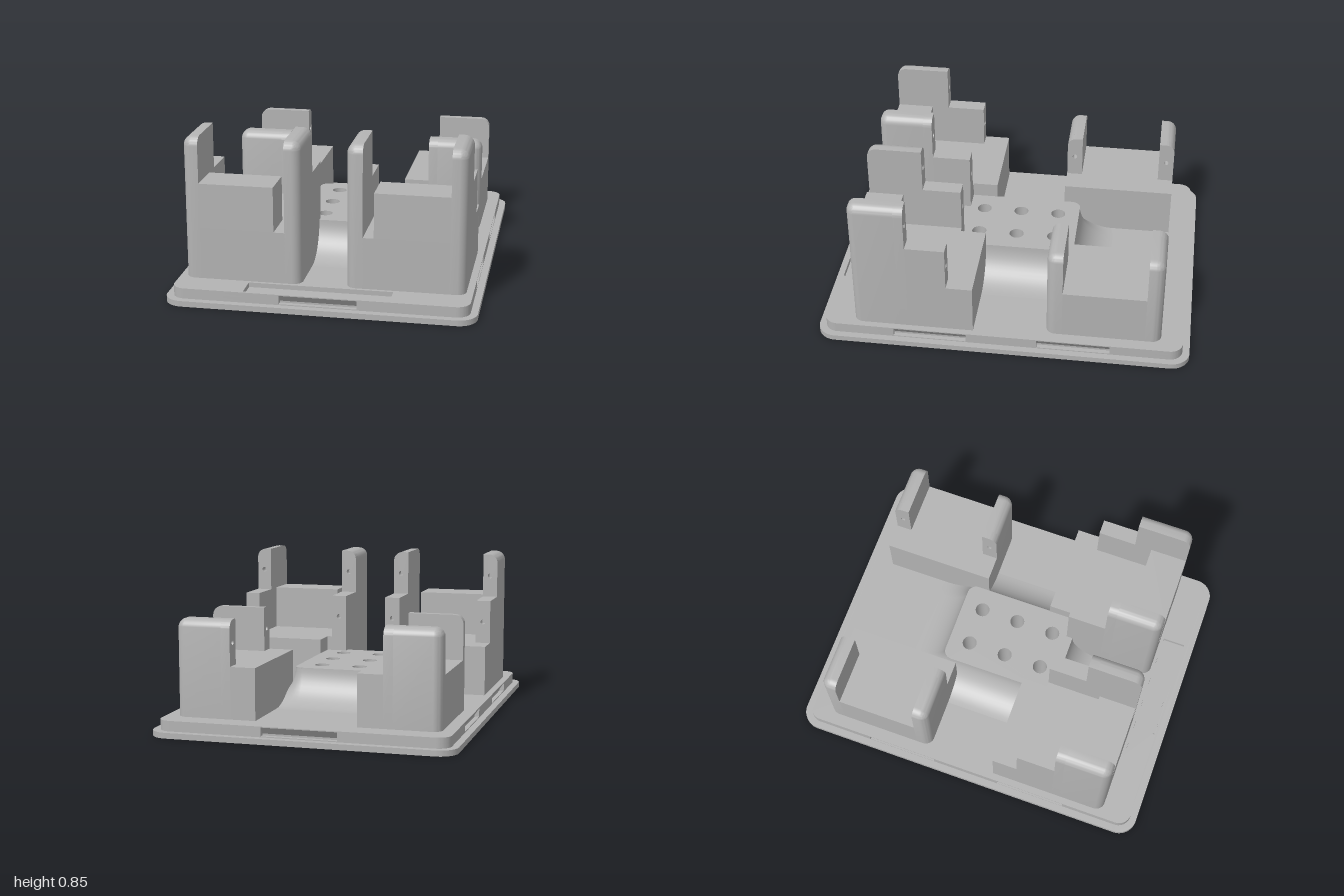
import * as THREE from 'three';
import { toCreasedNormals } from 'three/addons/utils/BufferGeometryUtils.js';

const R = 0.05;          // edge rounding of the posts
const BLOCK_TOP = 0.28, PLATE_TOP = 0.085, FLOOR = 0.36, STEP = 0.6, POST = 0.845;
const NOTCH = 0.025;     // depth of the clip notches in the plate rim
const SIDE_NOTCHES = [[-0.58, -0.19], [0.19, 0.58]];
const END_NOTCHES = [[-0.2, 0.2]];

export function createModel() {
  const model = new THREE.Group();
  const grey = new THREE.MeshStandardMaterial({ color: 0xb3b3b3 });
  grey.name = 'grey plastic';

  function add(parent, name, geo) {
    const mesh = new THREE.Mesh(geo, grey);
    mesh.name = name;
    parent.add(mesh);
    return mesh;
  }
  const smooth = (geo) => toCreasedNormals(geo, 0.6);
  const range = (s, a, b) => (s > 0 ? [a, b] : [-b, -a]);

  function box([x0, x1], [y0, y1], [z0, z1]) {
    return new THREE.BoxGeometry(x1 - x0, y1 - y0, z1 - z0)
      .translate((x0 + x1) / 2, (y0 + y1) / 2, (z0 + z1) / 2);
  }

  // Box whose three edges meeting at the top corner (sx, up, sz) are rounded
  function cornerBlock(xr, yr, zr, sx, sz) {
    const n = 5, lo = [xr[0], yr[0], zr[0]], size = [xr[1] - xr[0], yr[1] - yr[0], zr[1] - zr[0]];
    const sign = [sx, 1, sz];
    const geo = new THREE.BoxGeometry(1, 1, 1, n + 1, n + 1, n + 1);
    const pos = geo.attributes.position;
    for (let i = 0; i < pos.count; i++) {
      const core = [], d = [];
      for (let a = 0; a < 3; a++) {
        const t = pos.getComponent(i, a) * sign[a] + 0.5;
        const k = Math.round(t * (n + 1));
        core[a] = k === 0 ? 0 : size[a] - R;
        d[a] = k === 0 ? 0 : R * Math.tan(((k - 1) / n) * Math.PI / 4);
      }
      const len = Math.hypot(...d), f = len > 0 ? Math.max(...d) / len : 0;
      const p = core.map((c, a) => {
        const v = c + d[a] * f;
        return lo[a] + (sign[a] > 0 ? v : size[a] - v);
      });
      pos.setXYZ(i, ...p);
    }
    return smooth(geo);
  }

  // Slab with a small pilot hole; its top corner on side s can be rounded
  function drilledSlab([u0, u1], y1, holeY, depth, s = 0) {
    const sh = new THREE.Shape();
    sh.moveTo(u0, 0.08);
    sh.lineTo(u1, 0.08);
    if (s > 0) sh.absarc(u1 - R, y1 - R, R, 0, Math.PI / 2); else sh.lineTo(u1, y1);
    if (s < 0) sh.absarc(u0 + R, y1 - R, R, Math.PI / 2, Math.PI); else sh.lineTo(u0, y1);
    sh.closePath();
    sh.holes.push(new THREE.Path().absarc((u0 + u1) / 2, holeY, 0.014, 0, Math.PI * 2));
    return smooth(new THREE.ExtrudeGeometry(sh, { depth, bevelEnabled: false, curveSegments: 6 }));
  }

  // Rounded rectangle with the six screw holes, optional rim notches and front pocket
  function slab(hx, hz, r, y0, y1, notched = false, pocket = false) {
    const sh = new THREE.Shape();
    const at = [
      (a, b) => [a, -hz + b], (a, b) => [hx - b, a],
      (a, b) => [-a, hz - b], (a, b) => [-hx + b, -a],
    ];
    const corners = [[1, -1], [1, 1], [-1, 1], [-1, -1]];
    sh.moveTo(-hx + r, -hz);
    for (let i = 0; i < 4; i++) {
      if (notched) {
        for (const [a, b] of i % 2 ? SIDE_NOTCHES : END_NOTCHES) {
          for (const q of [[a, 0], [a, NOTCH], [b, NOTCH], [b, 0]]) sh.lineTo(...at[i](...q));
        }
      }
      const [cx, cz] = corners[i], a0 = (i - 1) * Math.PI / 2;
      sh.absarc(cx * (hx - r), cz * (hz - r), r, a0, a0 + Math.PI / 2);
    }
    for (const x of [-0.107, 0.107]) {
      for (const z of [-0.212, 0, 0.212]) {
        sh.holes.push(new THREE.Path().absarc(x, z, 0.04, 0, Math.PI * 2));
      }
    }
    if (pocket) {
      // the pocket stays just behind the notch where the two meet
      const p = new THREE.Path();
      p.moveTo(-0.39, -0.945);
      if (notched) {
        for (const [x, z] of [[-0.201, 0.945], [-0.201, 0.934], [0.201, 0.934], [0.201, 0.945]]) p.lineTo(x, -z);
      }
      p.lineTo(0.365, -0.945);
      p.lineTo(0.365, -0.82);
      p.lineTo(-0.39, -0.82);
      p.closePath();
      sh.holes.push(p);
    }
    const geo = new THREE.ExtrudeGeometry(sh, { depth: y1 - y0, bevelEnabled: false, curveSegments: 10 });
    return smooth(geo.rotateX(-Math.PI / 2).translate(0, y0, 0));
  }

  // Base: flange and stepped plate
  const base = new THREE.Group();
  base.name = 'base';
  model.add(base);
  add(base, 'flange', slab(0.805, 1, 0.1, 0, 0.03));
  add(base, 'plateBottom', slab(0.768, 0.962, 0.07, 0.03, 0.035));
  add(base, 'plateLower', slab(0.768, 0.962, 0.07, 0.035, 0.06, true));
  add(base, 'plateUpper', slab(0.768, 0.962, 0.07, 0.06, 0.08, true, true));
  add(base, 'plateTop', slab(0.768, 0.962, 0.07, 0.08, PLATE_TOP, false, true));

  // Sloping undersides of the clip notches
  function notchSlope(a, b, turn, edge) {
    const tri = new THREE.Shape([[0, 0.08], [-NOTCH, 0.08], [-NOTCH, 0.045]].map((p) => new THREE.Vector2(...p)));
    const geo = new THREE.ExtrudeGeometry(tri, { depth: b - a, bevelEnabled: false })
      .rotateY(-Math.PI / 2).translate(b, 0, edge).rotateY(turn);
    add(base, 'notchSlope', geo);
  }
  for (const turn of [0, Math.PI]) {
    for (const [a, b] of END_NOTCHES) notchSlope(a, b, turn, 0.962);
    for (const [a, b] of SIDE_NOTCHES) notchSlope(a, b, turn + Math.PI / 2, 0.768);
  }

  // Centre block with a concave skirt flowing into the plate
  add(model, 'centreBlock', slab(0.232, 0.33, R, PLATE_TOP, BLOCK_TOP));
  const rows = 12, arc = 6, verts = [], index = [], ring = 4 * (arc + 1);
  for (let j = 0; j <= rows; j++) {
    const t = (j / rows) * Math.PI / 2, h = BLOCK_TOP - PLATE_TOP;
    const r = R + h * (1 - Math.cos(t)), y = BLOCK_TOP - h * Math.sin(t);
    for (let q = 0; q < 4; q++) {
      const cx = (q === 0 || q === 3 ? 1 : -1) * (0.232 - R), cz = (q < 2 ? 1 : -1) * (0.33 - R);
      for (let k = 0; k <= arc; k++) {
        const a = (q + k / arc) * Math.PI / 2;
        verts.push(cx + r * Math.cos(a), y, cz + r * Math.sin(a));
      }
    }
  }
  for (let j = 0; j < rows; j++) {
    for (let i = 0; i < ring; i++) {
      const a = j * ring + i, b = j * ring + (i + 1) % ring;
      index.push(a, b, a + ring, b, b + ring, a + ring);
    }
  }
  const skirt = new THREE.BufferGeometry();
  skirt.setAttribute('position', new THREE.Float32BufferAttribute(verts, 3));
  skirt.setIndex(index);
  skirt.computeVertexNormals();
  add(model, 'blockSkirt', skirt);

  for (const s of [1, -1]) {
    const side = s > 0 ? 'left' : 'right';

    // Front holder: floor, front wall and two stepped posts
    const front = new THREE.Group();
    front.name = side + 'FrontHolder';
    model.add(front);
    add(front, 'rearLedge', box(range(s, 0.23, 0.732), [0.08, FLOOR], [0.155, 0.295]));
    add(front, 'floor', box(range(s, 0.2, 0.65), [0.08, FLOOR], [0.295, 0.802]));
    add(front, 'frontWall', box(range(s, 0.26, 0.65), [FLOOR, STEP], [0.6, 0.802]));
    for (const [a, b, out] of [[0.65, 0.732, s], [0.117, 0.203, -s]]) {
      const xr = range(s, a, b);
      add(front, 'stepFace', drilledSlab(xr, STEP, 0.48, 0.05).translate(0, 0, 0.295));
      add(front, 'step', box(xr, [0.08, STEP], [0.345, 0.505]));
      add(front, 'postFace', drilledSlab(xr, POST, 0.72, 0.05, out).translate(0, 0, 0.505));
      add(front, 'post', cornerBlock(xr, [0.08, POST], [0.555, 0.802], out, 1));
    }

    // Back holder: floor and two rounded end walls
    const back = new THREE.Group();
    back.name = side + 'BackHolder';
    model.add(back);
    add(back, 'innerFloor', box(range(s, 0.27, 0.405), [0.08, FLOOR], [-0.845, -0.232]));
    add(back, 'floor', box(range(s, 0.405, 0.702), [0.08, FLOOR], [-0.76, -0.318]));
    for (const [z0, z1, sz] of [[-0.845, -0.76, -1], [-0.318, -0.232, 1]]) {
      const faceX = range(s, 0.405, 0.455);
      add(back, 'wallFace', drilledSlab([z0, z1], STEP, 0.48, 0.05, sz)
        .rotateY(-Math.PI / 2).translate(faceX[1], 0, 0));
      add(back, 'wall', cornerBlock(range(s, 0.455, 0.702), [0.08, STEP], [z0, z1], s, sz));
    }
  }
  return model;
}
